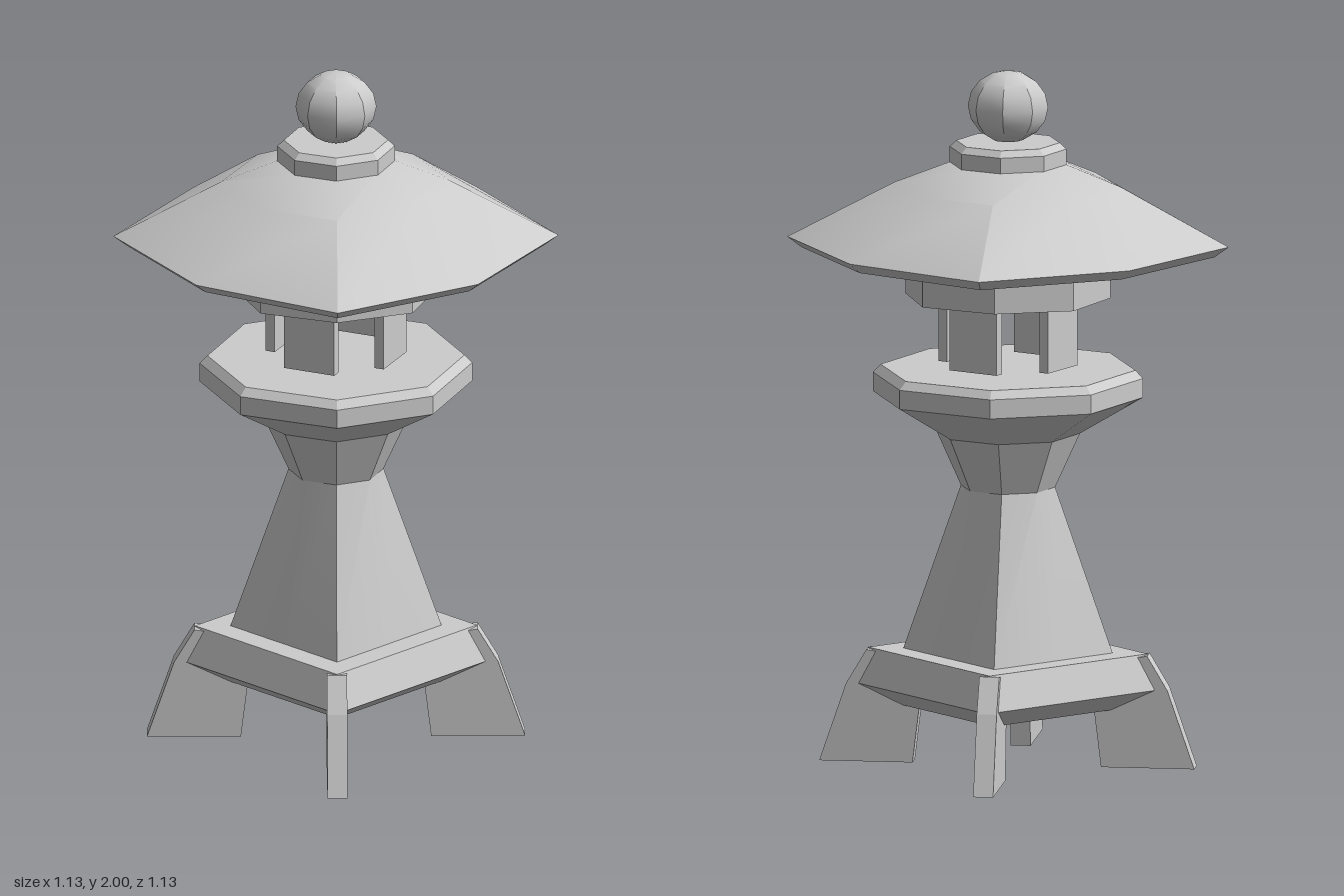
import * as THREE from 'three';
import { toCreasedNormals } from 'three/addons/utils/BufferGeometryUtils.js';

const material = new THREE.MeshStandardMaterial({ color: 0xcccccc });
const CREASE = THREE.MathUtils.degToRad(25);
const H = Math.SQRT1_2;

function mesh(name, geometry, parent) {
  const m = new THREE.Mesh(geometry, material);
  m.name = name;
  parent.add(m);
  return m;
}

// Closed eight-sided loft. Each ring is [y, reach along the axes, x and z of the corners], bottom to top.
function loft(rings) {
  const pos = [];
  const point = ([y, axis, corner = axis * H], k) => {
    const a = (k % 8) * Math.PI / 4;
    const r = k % 2 ? corner / H : axis;
    return [Math.sin(a) * r, y, Math.cos(a) * r];
  };
  const first = rings[0];
  const last = rings[rings.length - 1];
  for (let k = 0; k < 8; k++) {
    pos.push(0, first[0], 0, ...point(first, k + 1), ...point(first, k));
    for (let i = 0; i < rings.length - 1; i++) {
      const a = point(rings[i], k), b = point(rings[i], k + 1);
      const c = point(rings[i + 1], k + 1), d = point(rings[i + 1], k);
      pos.push(...a, ...b, ...c, ...a, ...c, ...d);
    }
    pos.push(0, last[0], 0, ...point(last, k), ...point(last, k + 1));
  }
  const g = new THREE.BufferGeometry();
  g.setAttribute('position', new THREE.Float32BufferAttribute(pos, 3));
  return toCreasedNormals(g, CREASE);
}

export function createModel() {
  const lantern = new THREE.Group();
  lantern.name = 'stoneLantern';

  // Four thin legs running out along the diagonals
  const profile = new THREE.Shape([
    [0.27, 0], [0.537, 0], [0.46, 0.225], [0.402, 0.323], [0.25, 0.3], [0.25, 0.165],
  ].map(([r, y]) => new THREE.Vector2(r, y)));
  const legGeometry = new THREE.ExtrudeGeometry(profile, { depth: 0.057, bevelEnabled: false });
  legGeometry.translate(0, 0, -0.0285);
  for (let i = 0; i < 4; i++) {
    mesh('leg', legGeometry, lantern).rotation.y = Math.PI / 4 + i * Math.PI / 2;
  }

  // Square base slab with sloping sides
  mesh('base', loft([
    [0.165, 0.23, 0.23], [0.225, 0.32, 0.32], [0.325, 0.283, 0.283],
  ]), lantern);

  // Column changing from square to octagon, flaring into the platform
  mesh('columnAndPlatform', loft([
    [0.32, 0.213, 0.213], [0.8, 0.135], [0.957, 0.206],
    [1.065, 0.387], [1.12, 0.387], [1.143, 0.365],
  ]), lantern);

  // Four slabs around the light chamber, set in a slight pinwheel
  const slabGeometry = new THREE.BoxGeometry(0.157, 0.2, 0.029);
  slabGeometry.translate(0, 1.255, 0.17);
  for (let i = 0; i < 4; i++) {
    mesh('chamberSlab', slabGeometry, lantern).rotation.y = Math.PI / 9 + i * Math.PI / 2;
  }

  // Octagonal block under the roof
  mesh('chamberCap', loft([[1.35, 0.305, 0.208], [1.46, 0.305, 0.208]]), lantern);

  // Broad roof with beveled eaves
  mesh('roof', loft([
    [1.475, 0.53, 0.418], [1.505, 0.566, 0.447], [1.67, 0.312, 0.23], [1.735, 0.16],
  ]), lantern);

  // Collar and ball finial
  mesh('collar', loft([[1.73, 0.167], [1.777, 0.167], [1.795, 0.148]]), lantern);
  const ball = new THREE.SphereGeometry(0.115, 8, 8);
  ball.scale(1, 0.9, 1);
  mesh('finialBall', toCreasedNormals(ball, CREASE), lantern).position.y = 1.8965;

  return lantern;
}
